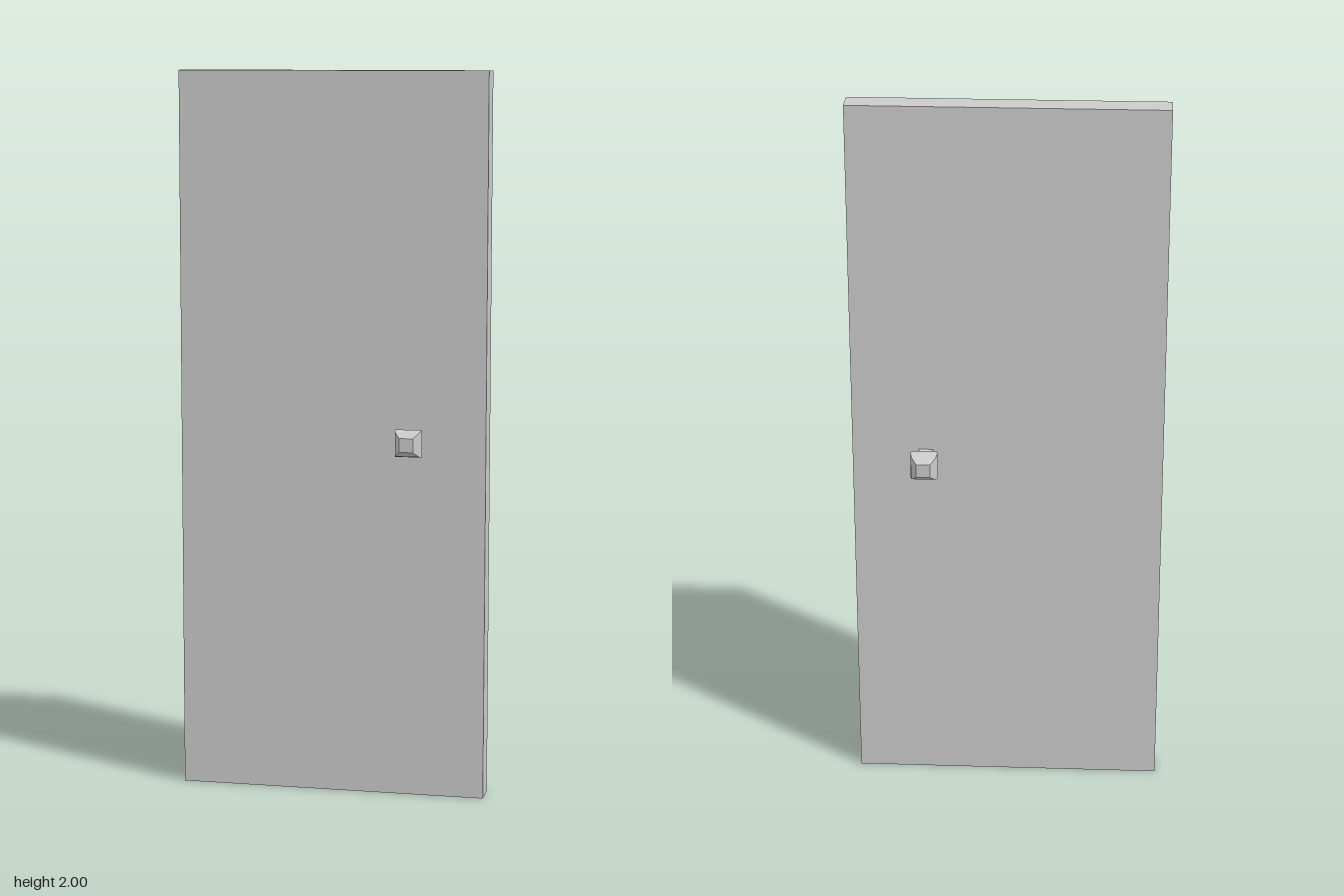
import * as THREE from 'three';

export function createModel() {
  const model = new THREE.Group();
  const material = new THREE.MeshStandardMaterial({ color: 0xcccccc, flatShading: true });
  const width = 0.855, height = 2, depth = 0.073;

  // Door slab
  const slab = new THREE.Mesh(new THREE.BoxGeometry(width, height, depth), material);
  slab.name = 'doorSlab';
  slab.position.y = height / 2;
  model.add(slab);

  // Square knob profile: [half width, distance from door centre]
  const profile = [
    [0.019, 0.03], [0.019, 0.061], [0.033, 0.078], [0.0375, 0.099],
    [0.033, 0.12], [0.019, 0.137], [0, 0.137],
  ].map(([half, z]) => new THREE.Vector2(half * Math.SQRT2, z));

  // Four-sided lathe with its flats facing the axes, pointing out of the door
  const knobGeometry = new THREE.LatheGeometry(profile, 4, Math.PI / 4);
  knobGeometry.rotateX(Math.PI / 2);

  // One knob on each face
  for (const [name, turn] of [['frontKnob', 0], ['backKnob', Math.PI]]) {
    const knob = new THREE.Mesh(knobGeometry, material);
    knob.name = name;
    knob.position.set(0.225, 1, 0);
    knob.rotation.y = turn;
    model.add(knob);
  }

  return model;
}
